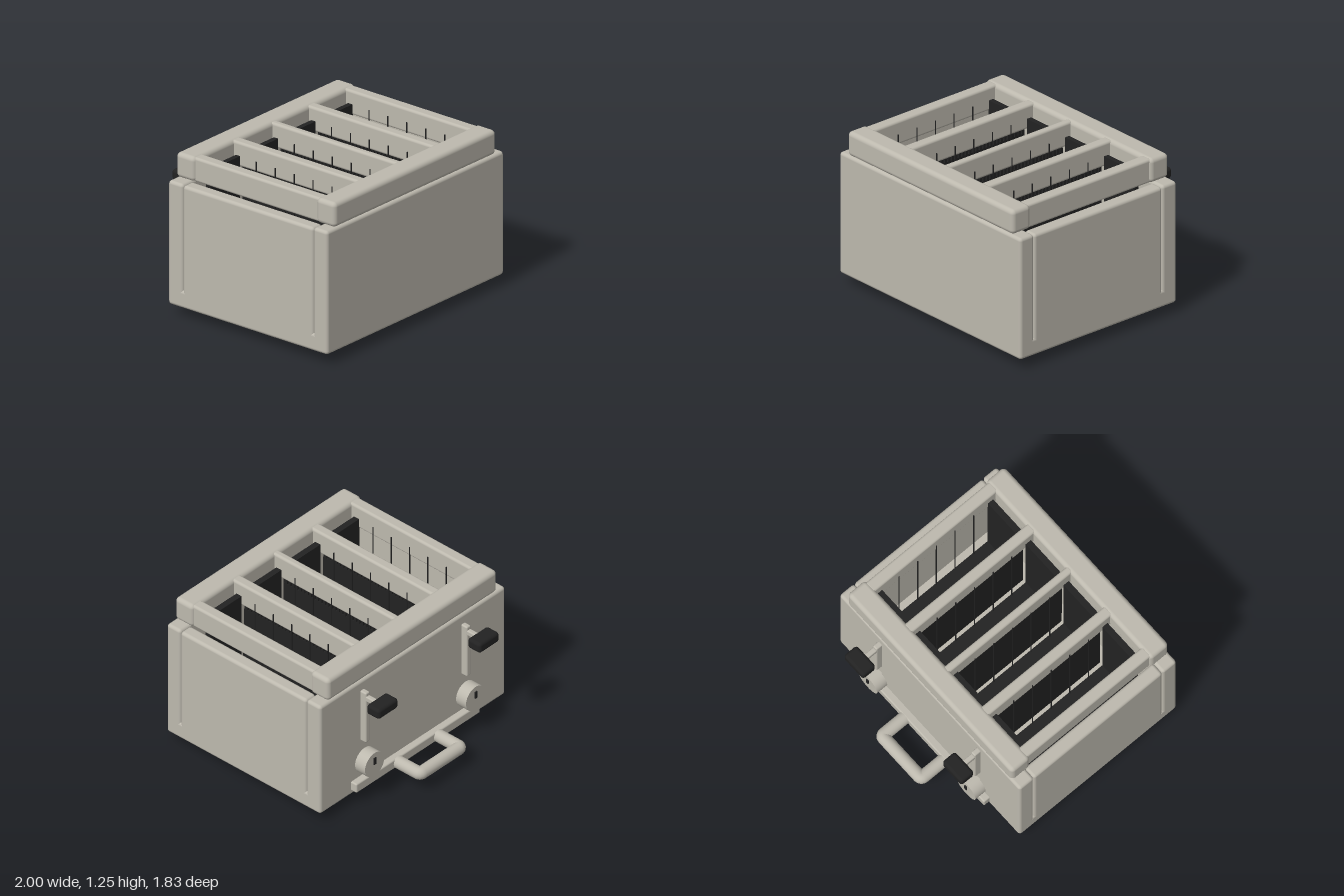
import * as THREE from 'three';
import { RoundedBoxGeometry } from 'three/addons/geometries/RoundedBoxGeometry.js';

export function createModel() {
  const root = new THREE.Group();
  root.name = 'fourSlotToaster';
  const cream = new THREE.MeshStandardMaterial({ color: 0xbdb9ae });
  cream.name = 'warm grey enamel';
  const black = new THREE.MeshStandardMaterial({ color: 0x222222 });
  black.name = 'black plastic';

  const add = (name, geometry, material) => {
    const mesh = new THREE.Mesh(geometry, material);
    mesh.name = name;
    root.add(mesh);
    return mesh;
  };
  // Box given by its limits on each axis, rounded when r > 0
  const box = (name, [x0, x1], [y0, y1], [z0, z1], r = 0, material = cream) => {
    const size = [x1 - x0, y1 - y0, z1 - z0];
    const geometry = r ? new RoundedBoxGeometry(...size, 4, r) : new THREE.BoxGeometry(...size);
    const mesh = add(name, geometry, material);
    mesh.position.set((x0 + x1) / 2, (y0 + y1) / 2, (z0 + z1) / 2);
    return mesh;
  };

  // Housing: base pan, front and back slabs, side panels with grooves between
  box('basePan', [-1, 1], [0.08, 0.22], [-0.6, 0.915], 0.025);
  box('frontSlab', [-1, 1], [0.08, 1.055], [0.78, 0.915], 0.025);
  box('backSlab', [-1, 1], [0.08, 1.055], [-0.6, -0.46], 0.025);
  for (const s of [-1, 1]) {
    box('sidePanel', [s * 0.945 - 0.055, s * 0.945 + 0.055], [0.08, 1.05], [-0.46, 0.78], 0.025);
  }

  // Top frame and slot dividers
  box('frontRim', [-0.915, 0.915], [1.055, 1.25], [0.735, 0.915], 0.035);
  box('backRim', [-0.915, 0.915], [1.055, 1.25], [-0.6, -0.42], 0.035);
  for (const [x, w] of [[-0.848, 0.095], [-0.425, 0.085], [0, 0.06], [0.425, 0.085], [0.848, 0.095]]) {
    box('slotDivider', [x - w / 2, x + w / 2], [1.055, 1.245], [-0.45, 0.765], 0.02);
  }

  // Bread carriers: floor, end plates and guide wires in each slot
  for (const [x0, x1] of [[-0.805, -0.468], [-0.382, -0.038], [0.038, 0.382], [0.468, 0.805]]) {
    box('carrierFloor', [x0, x1], [0.3, 0.33], [-0.4, 0.71], 0, black);
    box('carrierBackEnd', [x0, x1], [0.3, 1.14], [-0.4, -0.36], 0, black);
    box('carrierFrontEnd', [x0, x1], [0.3, 1.14], [0.66, 0.71], 0, black);
    for (const x of [x0 + 0.008, x1 - 0.008]) {
      for (let i = 0; i < 5; i++) {
        const wire = add('guideWire', new THREE.CylinderGeometry(0.005, 0.005, 0.82, 6), black);
        wire.position.set(x, 0.73, -0.2 + i * 0.18);
      }
    }
  }

  // Toothed heating elements below the inner dividers
  for (const x of [-0.425, 0, 0.425]) {
    const comb = new THREE.Shape();
    comb.moveTo(-0.36, 0.33);
    const teeth = 30, pitch = 1.02 / teeth;
    for (let i = 0; i < teeth; i++) {
      const z = -0.36 + i * pitch;
      comb.lineTo(z, 1.05);
      comb.lineTo(z + pitch * 0.6, 1.05);
      comb.lineTo(z + pitch * 0.6, 1.015);
      comb.lineTo(z + pitch, 1.015);
    }
    comb.lineTo(0.66, 0.33);
    const geometry = new THREE.ExtrudeGeometry(comb, { depth: 0.03, bevelEnabled: false });
    geometry.rotateY(-Math.PI / 2);
    add('heatingElement', geometry, black).position.x = x + 0.015;
  }

  // Feet
  for (const x of [-0.713, 0.713]) {
    for (const z of [-0.31, 0.635]) {
      add('foot', new THREE.CylinderGeometry(0.103, 0.103, 0.1, 40), black).position.set(x, 0.05, z);
    }
  }

  // Back controls: lever track, lever, knob and timer dial on each side
  for (const x of [-0.545, 0.545]) {
    box('leverTrack', [x - 0.022, x + 0.022], [0.52, 0.97], [-0.655, -0.59], 0.012);
    box('leverStem', [x - 0.02, x + 0.02], [0.895, 0.94], [-0.76, -0.63], 0.01);
    box('leverKnob', [x - 0.108, x + 0.108], [0.875, 0.962], [-0.86, -0.735], 0.025, black);
    const shaft = add('dialShaft', new THREE.CylinderGeometry(0.03, 0.03, 0.05, 20), cream);
    shaft.rotation.x = Math.PI / 2;
    shaft.position.set(x, 0.35, -0.605);
    const dial = add('timerDial', new THREE.CylinderGeometry(0.103, 0.103, 0.098, 40), cream);
    dial.rotation.x = Math.PI / 2;
    dial.position.set(x, 0.35, -0.671);
    box('dialMarker', [x - 0.012, x + 0.012], [0.355, 0.412], [-0.729, -0.72], 0, black);
  }

  // Crumb tray front and its bent tube handle
  box('crumbTray', [-0.668, 0.668], [0.12, 0.2], [-0.655, -0.58], 0.012);
  const path = new THREE.CurvePath();
  const v = (x, z) => new THREE.Vector3(x, 0.16, z);
  path.add(new THREE.LineCurve3(v(-0.217, -0.65), v(-0.217, -0.845)));
  path.add(new THREE.QuadraticBezierCurve3(v(-0.217, -0.845), v(-0.217, -0.868), v(-0.194, -0.868)));
  path.add(new THREE.LineCurve3(v(-0.194, -0.868), v(0.194, -0.868)));
  path.add(new THREE.QuadraticBezierCurve3(v(0.194, -0.868), v(0.217, -0.868), v(0.217, -0.845)));
  path.add(new THREE.LineCurve3(v(0.217, -0.845), v(0.217, -0.65)));
  add('trayHandle', new THREE.TubeGeometry(path, 120, 0.05, 20), cream);

  return root;
}
